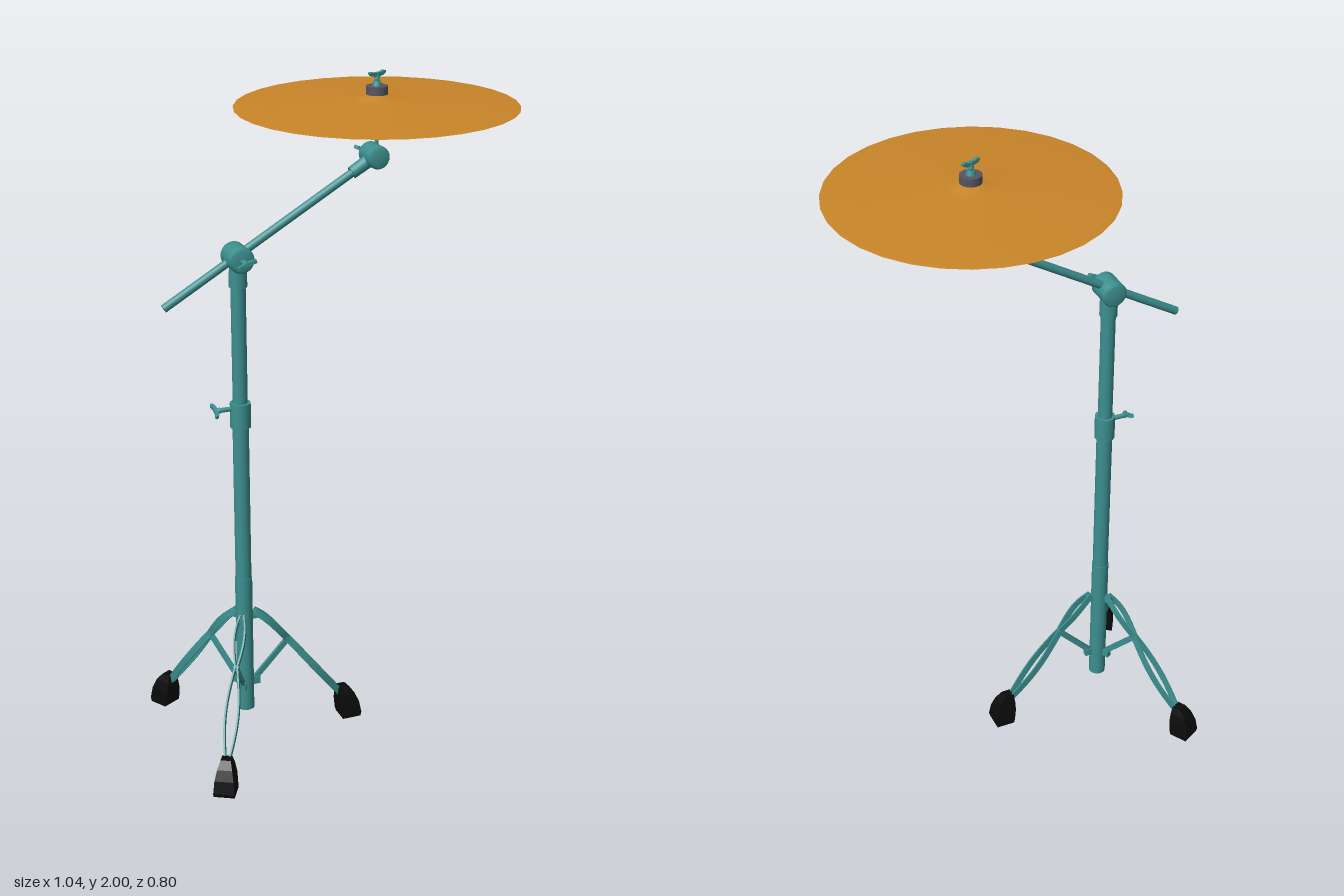
import * as THREE from 'three';

const mat = (color, side = THREE.FrontSide) => {
  const m = new THREE.MeshStandardMaterial({ side });
  m.color.set(color);
  return m;
};
const teal = mat(0x3d8f8f);
const bronze = mat(0xc98529, THREE.DoubleSide);
const rubber = mat(0x0b0b0b);
rubber.flatShading = true;
const tealFlat = mat(0x3d8f8f);
tealFlat.flatShading = true;
const feltMat = mat(0x55565f);

const POLE_X = -0.297, CYM_X = 0.12;
const CLAMP_Y = 1.512, TILT_Y = 1.763;
const V = (x, y, z) => new THREE.Vector3(x, y, z);

function add(parent, name, geometry, material) {
  const m = new THREE.Mesh(geometry, material);
  m.name = name;
  parent.add(m);
  return m;
}

// Upright cylinder between two heights
function post(parent, name, x, y0, y1, r, material = teal, rTop = r) {
  const m = add(parent, name, new THREE.CylinderGeometry(rTop, r, y1 - y0, 24), material);
  m.position.set(x, (y0 + y1) / 2, 0);
  return m;
}

// Cylinder between two points
function rod(parent, name, a, b, r, rEnd = r) {
  const m = add(parent, name, new THREE.CylinderGeometry(rEnd, r, a.distanceTo(b), 20), teal);
  m.position.copy(a).lerp(b, 0.5);
  m.quaternion.setFromUnitVectors(V(0, 1, 0), b.clone().sub(a).normalize());
  return m;
}

// Skin a list of four-cornered cross-sections, with end caps.
// Corners run anticlockwise when looking back along the direction of travel.
function loft(sections) {
  const pos = sections.flat().flatMap((p) => [p.x, p.y, p.z]);
  const idx = [];
  const n = sections.length;
  for (let i = 0; i < n - 1; i++)
    for (let k = 0; k < 4; k++) {
      const a = i * 4 + k, b = i * 4 + (k + 1) % 4;
      idx.push(a, b, b + 4, a, b + 4, a + 4);
    }
  const e = (n - 1) * 4;
  idx.push(0, 2, 1, 0, 3, 2, e, e + 1, e + 2, e, e + 2, e + 3);
  const g = new THREE.BufferGeometry();
  g.setAttribute('position', new THREE.Float32BufferAttribute(pos, 3));
  g.setIndex(idx);
  const flat = g.toNonIndexed();
  flat.computeVertexNormals();
  return flat;
}

// Flat steel strip following a curve that runs outward in the xy plane
function strip(curve, steps, depth, thick, bow = () => 0) {
  const sections = [];
  for (let i = 0; i <= steps; i++) {
    const t = i / steps, p = curve.getPoint(t), d = curve.getTangent(t);
    const n = V(-d.y, d.x, 0).normalize().multiplyScalar(depth / 2);
    const z = bow(p.x), h = thick / 2;
    sections.push([[1, h], [-1, h], [-1, -h], [1, -h]].map(([s, w]) =>
      V(p.x + n.x * s, p.y + n.y * s, z + w)));
  }
  return loft(sections);
}

// Wing screw pointing along +y, blades across x turned by spin
function wingScrew(name, stem, spin) {
  const g = new THREE.Group();
  g.name = name;
  post(g, 'screwStem', 0, 0, stem, 0.007);
  post(g, 'screwHub', 0, stem - 0.014, stem + 0.001, 0.009, teal, 0.006);
  const s = new THREE.Shape();
  s.moveTo(0, -0.006);
  s.lineTo(0.014, -0.004);
  s.quadraticCurveTo(0.03, -0.002, 0.029, 0.008);
  s.quadraticCurveTo(0.024, 0.012, 0.012, 0.006);
  s.lineTo(-0.012, 0.006);
  s.quadraticCurveTo(-0.024, 0.012, -0.029, 0.008);
  s.quadraticCurveTo(-0.03, -0.002, -0.014, -0.004);
  s.closePath();
  const geo = new THREE.ExtrudeGeometry(s, { depth: 0.01, bevelEnabled: false, curveSegments: 5 });
  geo.translate(0, 0, -0.005);
  const blade = add(g, 'screwWings', geo, teal);
  blade.position.y = stem - 0.003;
  blade.rotation.y = spin;
  return g;
}

// Rounded drum lying along z, used for the tilting joints
function jointDrum(parent, name, x, y, r, half) {
  const b = 0.008;
  const pts = [[0, -half], [r - b, -half], [r, -half + b], [r, -0.003], [r - 0.003, 0],
    [r, 0.003], [r, half - b], [r - b, half], [0, half]];
  const g = new THREE.LatheGeometry(pts.map(([a, c]) => new THREE.Vector2(a, c)), 24);
  g.rotateX(Math.PI / 2);
  add(parent, name, g, teal).position.set(x, y, 0);
}

// One leg, built outward along +x from the pole axis
function makeLeg() {
  const leg = new THREE.Group();
  leg.name = 'leg';
  const path = new THREE.CatmullRomCurve3([V(0.03, 0.415, 0), V(0.072, 0.378, 0),
    V(0.135, 0.302, 0), V(0.22, 0.192, 0), V(0.315, 0.07, 0)]);
  // Paired strips bow apart, meeting at the brace
  const bow = (x) => x < 0.135
    ? 0.003 + 0.012 * Math.sin(Math.PI * Math.max(0, (x - 0.025) / 0.11))
    : 0.003 + 0.016 * Math.sin(Math.PI * Math.min(1, (x - 0.135) / 0.175));
  for (const s of [-1, 1])
    add(leg, 'legStrip', strip(path, 28, 0.021, 0.005, (x) => s * bow(x)), tealFlat);
  const brace = new THREE.LineCurve3(V(0.025, 0.182, 0), V(0.138, 0.3, 0));
  add(leg, 'legBrace', strip(brace, 1, 0.017, 0.009), tealFlat);
  // Hinge lugs on the pole
  for (const [y, w] of [[0.182, 0.016], [0.402, 0.014]])
    add(leg, 'hingeLug', new THREE.BoxGeometry(0.032, 0.024, w), teal).position.set(0.029, y, 0);
  const pin = add(leg, 'bracePin', new THREE.CylinderGeometry(0.007, 0.007, 0.018, 12), teal);
  pin.rotation.x = Math.PI / 2;
  pin.position.set(0.136, 0.3, 0);
  // Rubber foot: height, inner reach, outer reach, half width
  const foot = [[0, 0.306, 0.363, 0.031], [0.012, 0.303, 0.367, 0.031], [0.05, 0.298, 0.36, 0.028],
    [0.08, 0.298, 0.347, 0.022], [0.102, 0.3, 0.328, 0.015]].map(([y, a, b, w]) =>
    [V(a, y, w), V(b, y, w), V(b, y, -w), V(a, y, -w)]);
  add(leg, 'rubberFoot', loft(foot), rubber);
  return leg;
}

export function createModel() {
  const model = new THREE.Group();
  model.name = 'cymbalStand';

  // Tripod
  for (let i = 0; i < 3; i++) {
    const leg = makeLeg();
    leg.position.x = POLE_X;
    leg.rotation.y = i * Math.PI * 2 / 3;
    model.add(leg);
  }

  // Telescoping pole
  post(model, 'lowerSleeve', POLE_X, 0.096, 0.53, 0.0255);
  post(model, 'lowerPole', POLE_X, 0.52, 1.02, 0.0235);
  post(model, 'heightCollar', POLE_X, 1.008, 1.082, 0.03);
  post(model, 'upperPole', POLE_X, 1.07, 1.45, 0.0215);
  post(model, 'topCollar', POLE_X, 1.428, 1.473, 0.026);
  post(model, 'clampNeck', POLE_X, 1.473, 1.5, 0.024);
  const heightScrew = wingScrew('heightScrew', 0.05, Math.PI / 2 - 0.35);
  heightScrew.position.set(POLE_X - 0.026, 1.066, 0);
  heightScrew.rotation.z = Math.PI / 2;
  model.add(heightScrew);

  // Boom clamp and boom arm
  jointDrum(model, 'boomClamp', POLE_X, CLAMP_Y, 0.037, 0.045);
  const boomScrew = wingScrew('boomScrew', 0.035, 0.35);
  boomScrew.position.set(POLE_X, CLAMP_Y, 0.043);
  boomScrew.rotation.x = Math.PI / 2;
  model.add(boomScrew);
  rod(model, 'boomArm', V(-0.515, 1.389, 0), V(0.09, 1.745, 0), 0.012);
  rod(model, 'boomSocket', V(0.045, 1.719, 0), V(0.112, 1.759, 0), 0.018, 0.02);

  // Cymbal tilter
  jointDrum(model, 'tilter', 0.113, TILT_Y, 0.033, 0.041);
  const tiltScrew = wingScrew('tiltScrew', 0.035, 0.35);
  tiltScrew.position.set(0.113, TILT_Y, -0.04);
  tiltScrew.rotation.x = -Math.PI / 2;
  model.add(tiltScrew);
  post(model, 'cymbalRod', CYM_X, 1.77, 1.985, 0.006);
  post(model, 'cymbalSeat', CYM_X, 1.886, 1.898, 0.007, teal, 0.013);
  post(model, 'lowerFelt', CYM_X, 1.897, 1.924, 0.027, feltMat);

  // Cymbal
  const profile = [[0.4, 1.902], [0.386, 1.9042], [0.3, 1.9095], [0.18, 1.916], [0.07, 1.922],
    [0.045, 1.927], [0.025, 1.934], [0.006, 1.936]].map(([r, y]) => new THREE.Vector2(r, y));
  add(model, 'cymbal', new THREE.LatheGeometry(profile, 32), bronze).position.x = CYM_X;

  // Top felt and wing nut
  post(model, 'upperFelt', CYM_X, 1.936, 1.959, 0.031, feltMat);
  post(model, 'nutBase', CYM_X, 1.959, 1.972, 0.014, teal, 0.01);
  const wingNut = wingScrew('wingNut', 0.028, 0.35);
  wingNut.position.set(CYM_X, 1.965, 0);
  model.add(wingNut);

  return model;
}
